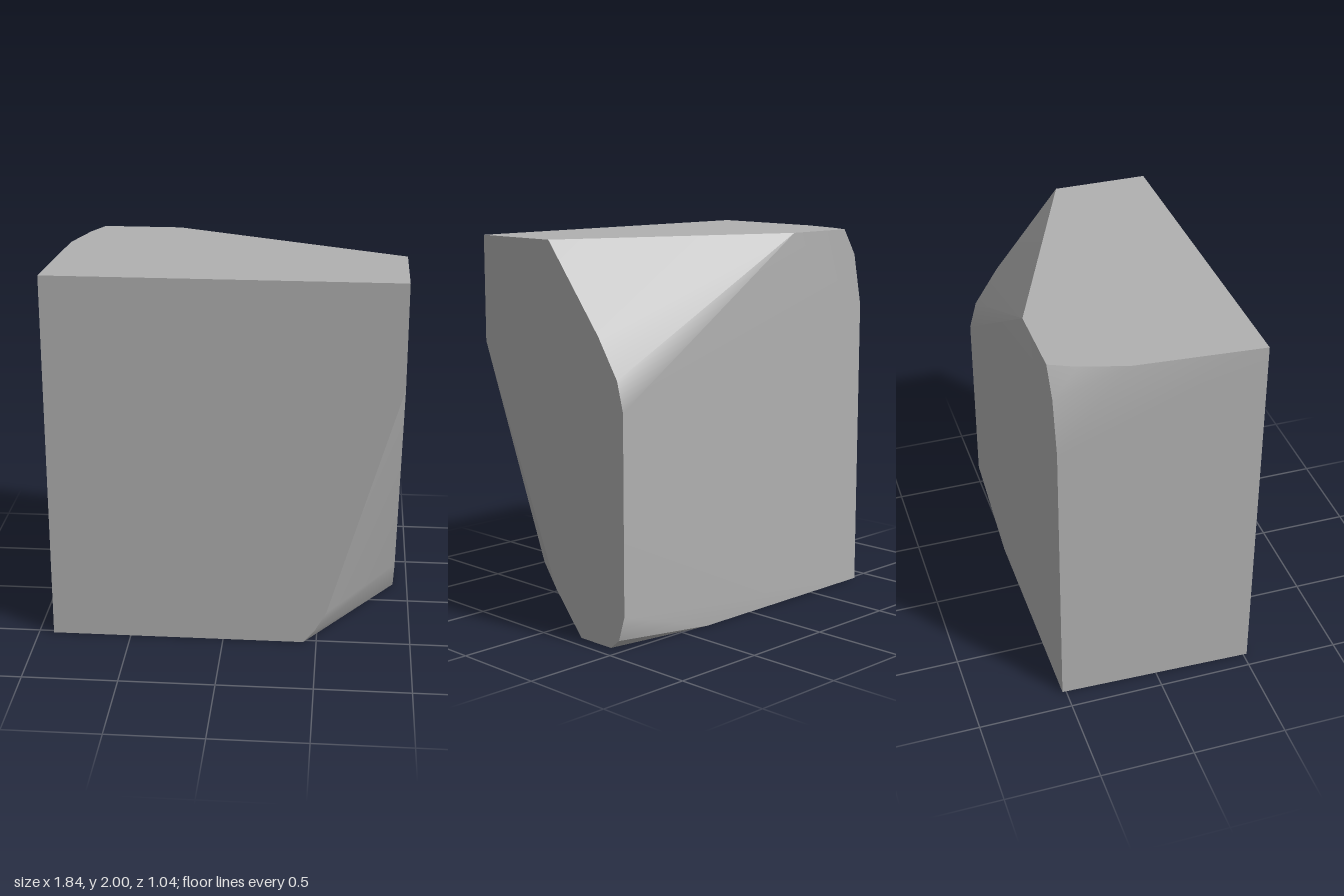
import * as THREE from 'three';
import { ConvexGeometry } from 'three/addons/geometries/ConvexGeometry.js';

const stone = new THREE.MeshStandardMaterial({ color: 0xb0b0b0 });
stone.name = 'stoneGrey';

// Area-weighted smooth normals across shallow bends; sharper edges stay crisp.
function smoothShallowEdges(geometry, maxAngle) {
  const pos = geometry.attributes.position;
  const limit = Math.cos(maxAngle);
  const corner = (i) => new THREE.Vector3().fromBufferAttribute(pos, i);
  const faces = new Map();
  const weighted = [];
  const key = (v) => v.toArray().map((n) => n.toFixed(3)).join();
  for (let i = 0; i < pos.count; i += 3) {
    const [a, b, c] = [corner(i), corner(i + 1), corner(i + 2)];
    const n = b.clone().sub(a).cross(c.clone().sub(a));
    weighted.push(n);
    for (const v of [a, b, c]) {
      if (!faces.has(key(v))) faces.set(key(v), []);
      faces.get(key(v)).push(n);
    }
  }
  for (let i = 0; i < pos.count; i++) {
    const own = weighted[Math.floor(i / 3)].clone().normalize();
    const sum = new THREE.Vector3();
    for (const n of faces.get(key(corner(i)))) {
      if (n.clone().normalize().dot(own) > limit) sum.add(n);
    }
    sum.normalize();
    geometry.attributes.normal.setXYZ(i, sum.x, sum.y, sum.z);
  }
  return geometry;
}

export function createModel() {
  const X = 0.92, Z = 0.52, H = 2;
  const points = [
    // Left side corners, the back one tucked in slightly
    [-X, 0, Z], [-X, H, Z], [-0.89, 0, -Z],
    // Rounded chip at the top back left corner
    [-0.89, 1.58, -Z], [-0.83, 1.86, -Z], [-0.74, H, -Z],
    [-0.8, H, -0.39], [-0.87, H, -0.15],
    // Large sloping cut at the top back right
    [-0.32, H, -Z], [X, H, 0.01], [X, 1.55, -0.35], [X, 1.35, -0.48], [X, 1.2, -Z],
    // Small chip at the bottom back right
    [X, 0.18, -Z], [X, 0.05, -0.48], [X, 0, -0.42], [0.33, 0, -Z],
    // Tall wedge cut at the bottom front right
    [X, H, Z], [X, 1.45, Z], [0.55, 0.18, Z], [0.49, 0.07, Z], [0.43, 0, Z],
    [X, 0.22, -0.01], [X, 0, -0.2],
  ].map((p) => new THREE.Vector3(...p));

  const block = new THREE.Mesh(smoothShallowEdges(new ConvexGeometry(points), 0.45), stone);
  block.name = 'chippedStoneBlock';

  const model = new THREE.Group();
  model.name = 'stone';
  model.add(block);
  return model;
}
